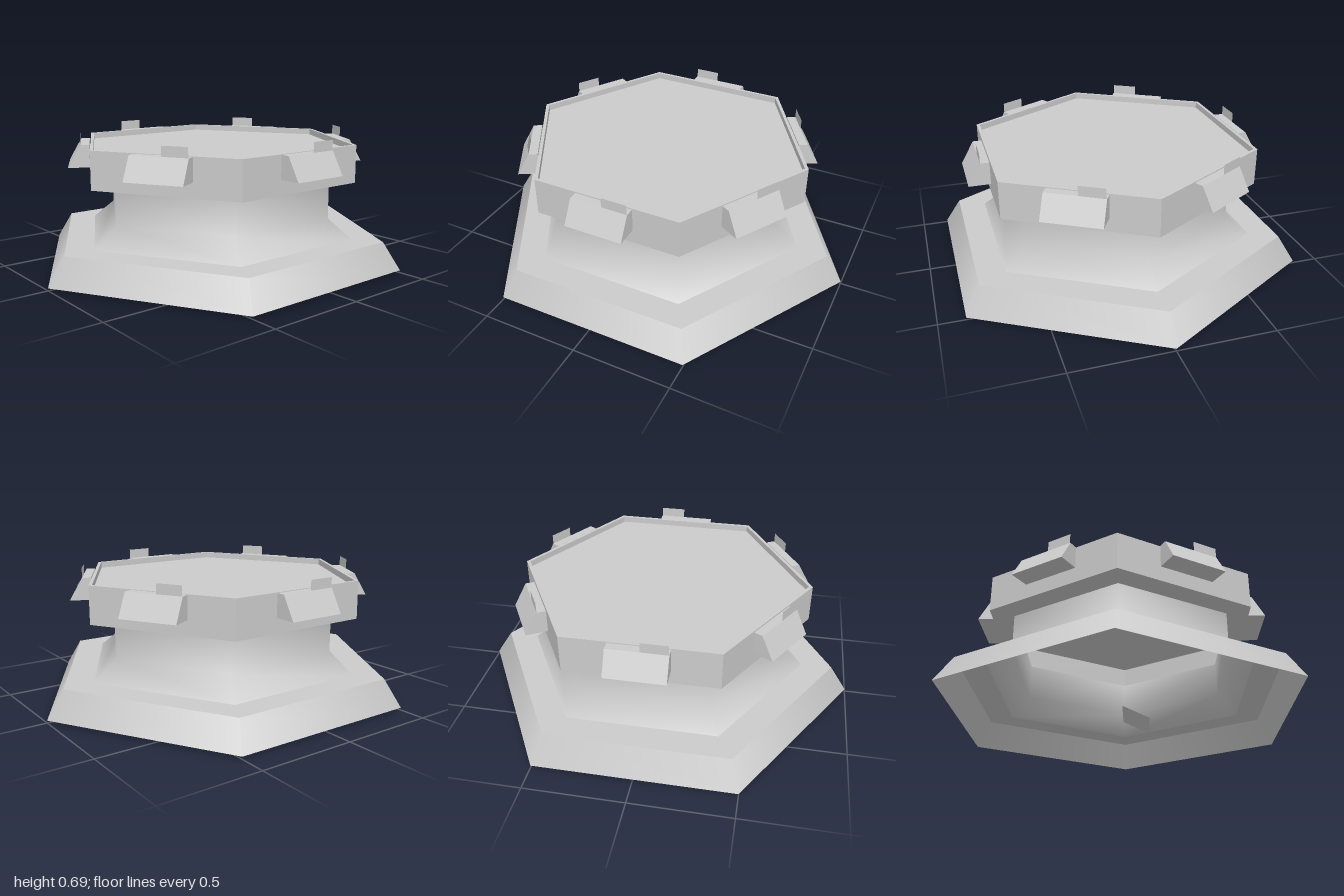
import * as THREE from 'three';

const smooth = new THREE.MeshStandardMaterial({ color: 0xcccccc, side: THREE.DoubleSide });
const flat = new THREE.MeshStandardMaterial({ color: 0xcccccc, side: THREE.DoubleSide, flatShading: true });

function addMesh(parent, name, geometry, material = flat) {
  const mesh = new THREE.Mesh(geometry, material);
  mesh.name = name;
  parent.add(mesh);
  return mesh;
}

// Six-sided shell with corners on the x axis, from [radius, height] pairs
function hexShell(profile) {
  const points = profile.map(([r, y]) => new THREE.Vector2(r, y));
  return new THREE.LatheGeometry(points, 6, Math.PI / 2);
}

// Clip on one side of the drum, built facing +z
function createClip() {
  const clip = new THREE.Group();
  const width = 0.295;

  // Wedge body: side profile (z, y) extruded along x
  const side = new THREE.Shape([
    new THREE.Vector2(0.66, 0.52), new THREE.Vector2(0.77, 0.52),
    new THREE.Vector2(0.705, 0.635), new THREE.Vector2(0.66, 0.635),
  ]);
  const wedge = new THREE.ExtrudeGeometry(side, { depth: width, bevelEnabled: false });
  wedge.translate(0, 0, -width / 2).rotateY(-Math.PI / 2);
  addMesh(clip, 'clipWedge', wedge);

  // Inset panel lying on the sloped face
  const slope = Math.atan2(0.065, 0.115);
  const panel = new THREE.PlaneGeometry(0.23, 0.09);
  panel.rotateX(-slope).translate(0, 0.5785, 0.7395);
  addMesh(clip, 'clipPanel', panel);

  // Thin upright tab on the right half
  const tab = new THREE.PlaneGeometry(0.13, 0.085);
  tab.translate(0.08, 0.6425, 0.705);
  addMesh(clip, 'clipTab', tab);
  return clip;
}

export function createModel() {
  const model = new THREE.Group();
  model.name = 'hexPedestal';

  // Hollow base and waist
  addMesh(model, 'baseSkirt', hexShell([[1, 0.012], [0.91, 0.15]]), smooth);
  addMesh(model, 'baseFlange', hexShell([[0.91, 0.15], [0.75, 0.15]]));
  addMesh(model, 'waist', hexShell([[0.75, 0.15], [0.625, 0.25], [0.625, 0.445]]), smooth);

  // Drum with a thin rim around a recessed floor
  addMesh(model, 'drum', hexShell([
    [0.625, 0.445], [0.757, 0.445], [0.757, 0.637], [0.738, 0.637], [0.738, 0.605],
  ]));
  const floor = new THREE.CircleGeometry(0.738, 6);
  floor.rotateX(-Math.PI / 2).translate(0, 0.605, 0);
  addMesh(model, 'drumFloor', floor);

  // One clip per side
  for (let i = 0; i < 6; i++) {
    const clip = createClip();
    clip.name = `clip${i + 1}`;
    clip.rotation.y = (i * Math.PI) / 3;
    model.add(clip);
  }

  // Small tilted plate under the hollow base
  const plate = new THREE.PlaneGeometry(0.25, 0.16);
  plate.rotateX(Math.PI / 2 + 0.454).translate(0.125, 0.035, 0.075);
  addMesh(model, 'underPlate', plate);

  return model;
}
